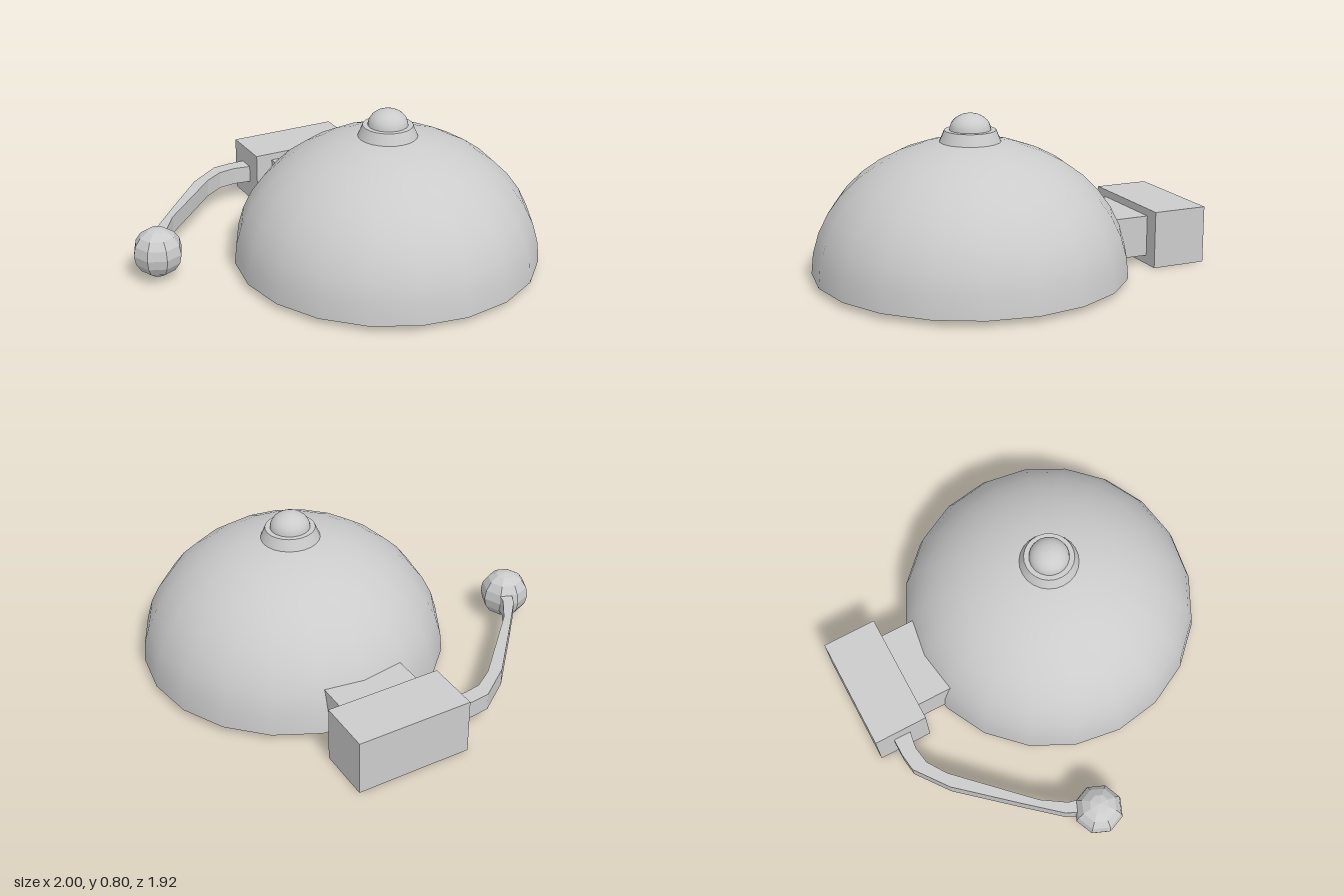
import * as THREE from 'three';

const smooth = new THREE.MeshStandardMaterial({ color: 0xcccccc, side: THREE.DoubleSide });
const flat = new THREE.MeshStandardMaterial({ color: 0xcccccc, flatShading: true });

function add(parent, name, geometry, material, x = 0, y = 0, z = 0) {
  const mesh = new THREE.Mesh(geometry, material);
  mesh.name = name;
  mesh.position.set(x, y, z);
  parent.add(mesh);
  return mesh;
}

// Box given by its minimum and maximum corners
function addBox(parent, name, a, b) {
  const size = a.map((v, i) => b[i] - v);
  const mid = a.map((v, i) => (b[i] + v) / 2);
  add(parent, name, new THREE.BoxGeometry(...size), flat, ...mid);
}

// Elliptical dome profile turned around the y axis
function domeGeometry(radius, height, steps, sides) {
  const points = [];
  for (let i = 0; i <= steps; i++) {
    const t = (i / steps) * Math.PI / 2;
    points.push(new THREE.Vector2(Math.max(radius * Math.cos(t), 0), height * Math.sin(t)));
  }
  // Starting at a quarter turn keeps the rim corners on the x and z axes
  return new THREE.LatheGeometry(points, sides, Math.PI / 2);
}

export function createModel() {
  const group = new THREE.Group();

  // Gong with a closed, flat underside
  const gong = new THREE.Group();
  gong.name = 'gong';
  gong.position.set(0.23, 0, 0.19);
  group.add(gong);
  add(gong, 'gongDome', domeGeometry(0.77, 0.65, 10, 20), smooth, 0, 0.028);
  add(gong, 'gongBase', new THREE.CircleGeometry(0.77, 20).rotateX(Math.PI / 2), smooth, 0, 0.028);

  // Washer and rounded screw on top
  add(gong, 'washer', new THREE.CylinderGeometry(0.125, 0.15, 0.06, 24), smooth, 0, 0.69);
  add(gong, 'screw', domeGeometry(0.1, 0.08, 8, 20), smooth, 0, 0.72);

  // Striker housing and the neck joining it to the gong
  addBox(group, 'housing', [-0.08, 0, -0.96], [0.51, 0.285, -0.68]);
  addBox(group, 'neck', [0.01, 0.045, -0.69], [0.43, 0.248, -0.42]);

  // Bent striker arm
  const outline = [
    [-0.06, -0.867], [-0.17, -0.867], [-0.26, -0.855], [-0.43, -0.73], [-0.68, -0.45],
    [-0.82, -0.29], [-0.88, -0.17], [-0.8, -0.17], [-0.78, -0.25], [-0.7, -0.37],
    [-0.36, -0.71], [-0.26, -0.775], [-0.17, -0.79], [-0.06, -0.773],
  ].map(([x, z]) => new THREE.Vector2(x, z));
  const arm = new THREE.ExtrudeGeometry(new THREE.Shape(outline), { depth: 0.09, bevelEnabled: false });
  arm.rotateX(Math.PI / 2);
  add(group, 'strikerArm', arm, flat, 0, 0.19, 0);

  // Faceted striker ball
  add(group, 'strikerBall', new THREE.SphereGeometry(0.125, 8, 8), flat, -0.875, 0.145, -0.13);

  return group;
}
